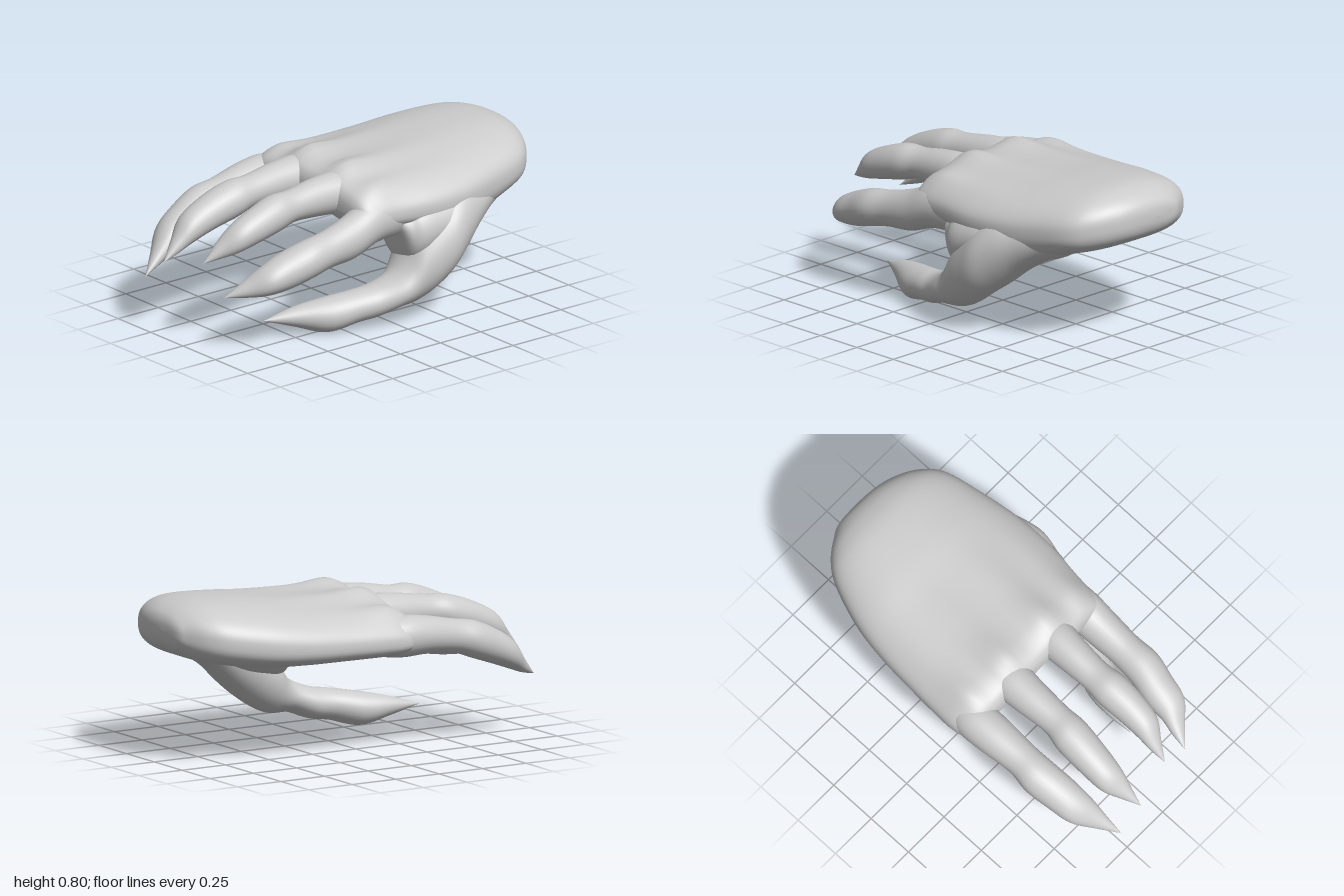
import * as THREE from 'three';

const material = new THREE.MeshStandardMaterial({ color: 0xcccccc, roughness: 0.8 });

// Catmull-Rom blend of whole station rows
function sample(rows, t) {
  const n = rows.length - 1;
  const i = Math.min(Math.floor(t * n), n - 1);
  const f = t * n - i;
  const p = k => rows[Math.max(0, Math.min(n, k))];
  const [a, b, c, d] = [p(i - 1), p(i), p(i + 1), p(i + 2)];
  return b.map((_, k) => 0.5 * (2 * b[k] + (c[k] - a[k]) * f
    + (2 * a[k] - 5 * b[k] + 4 * c[k] - d[k]) * f * f
    + (3 * b[k] - a[k] - 3 * c[k] + d[k]) * f * f * f));
}

// Closed skin along z. Each row is [z, centre x, centre y, half width, half height]
function loft(name, rows, { sides = 28, steps = 6, power = 1, shape = null } = {}) {
  const rings = (rows.length - 1) * steps;
  const positions = [], index = [];
  const pow = v => Math.sign(v) * Math.abs(v) ** power;
  for (let r = 0; r <= rings; r++) {
    const [z, cx, cy, rx, ry] = sample(rows, r / rings);
    for (let s = 0; s < sides; s++) {
      const a = s / sides * Math.PI * 2;
      const x = cx + Math.max(rx, 0.0005) * pow(Math.cos(a));
      const y = cy + Math.max(ry, 0.0005) * pow(Math.sin(a));
      positions.push(x, shape ? shape(x, y, z, Math.sin(a)) : y, z);
      if (r < rings) {
        const p = r * sides + s, q = r * sides + (s + 1) % sides;
        index.push(p, q, p + sides, q, q + sides, p + sides);
      }
    }
  }
  const geometry = new THREE.BufferGeometry();
  geometry.setAttribute('position', new THREE.Float32BufferAttribute(positions, 3));
  geometry.setIndex(index);
  geometry.computeVertexNormals();
  const mesh = new THREE.Mesh(geometry, material);
  mesh.name = name;
  return mesh;
}

const bell = (v, width) => Math.exp(-((v / width) ** 2));

export function createModel() {
  const hand = new THREE.Group();
  hand.name = 'clawedHand';

  // Palm: [z, right edge, left edge, top, bottom]
  const palm = [
    [-1, -0.07, -0.07, 0.665, 0.665], [-0.993, -0.19, 0.06, 0.715, 0.615], [-0.965, -0.25, 0.18, 0.755, 0.57],
    [-0.9, -0.34, 0.3, 0.79, 0.53], [-0.8, -0.41, 0.38, 0.808, 0.5], [-0.6, -0.48, 0.43, 0.8, 0.475],
    [-0.4, -0.515, 0.465, 0.78, 0.475], [-0.2, -0.53, 0.47, 0.765, 0.48], [0, -0.54, 0.445, 0.755, 0.485],
    [0.1, -0.54, 0.435, 0.745, 0.49], [0.17, -0.525, 0.42, 0.72, 0.51], [0.2, -0.48, 0.38, 0.685, 0.545],
    [0.21, -0.35, 0.27, 0.64, 0.58], [0.21, -0.05, -0.05, 0.61, 0.61],
  ].map(([z, l, r, top, bottom]) => [z, (l + r) / 2, (top + bottom) / 2, (r - l) / 2, (top - bottom) / 2]);

  // Arched back with knuckles and tendons above, thumb mound and hollow below
  const knuckles = [-0.42, -0.17, 0.13, 0.35];
  hand.add(loft('palm', palm, {
    sides: 80, power: 0.8,
    shape: (x, y, z, up) => {
      const ridge = knuckles.reduce((sum, k) => sum + bell(x - k, 0.075), 0);
      const reach = 0.037 * bell(z - 0.08, 0.13) + 0.014 * bell(z + 0.12, 0.25);
      const mound = 0.12 * bell(x - 0.33, 0.17) * bell(z + 0.42, 0.25);
      const hollow = 0.04 * bell(x, 0.17) * bell(z - 0.08, 0.35);
      const arch = (x < 0 ? 0.19 : 0.23) * x * x;
      return y - arch + Math.max(up, 0) * ridge * reach + Math.max(-up, 0) * (hollow - mound);
    },
  }));

  // Four fingers, each running from inside the knuckle to a claw point
  const fingers = {
    littleFinger: [
      [-0.1, -0.42, 0.57, 0.02, 0.02], [0.02, -0.425, 0.57, 0.08, 0.08], [0.14, -0.43, 0.575, 0.103, 0.102],
      [0.28, -0.425, 0.57, 0.1, 0.095], [0.45, -0.415, 0.545, 0.087, 0.085], [0.57, -0.415, 0.515, 0.096, 0.095],
      [0.7, -0.395, 0.465, 0.092, 0.09], [0.81, -0.375, 0.41, 0.08, 0.075], [0.9, -0.335, 0.345, 0.043, 0.042],
      [1, -0.29, 0.28, 0, 0]],
    ringFinger: [
      [-0.1, -0.18, 0.63, 0.02, 0.02], [0.02, -0.18, 0.63, 0.09, 0.085], [0.14, -0.18, 0.64, 0.104, 0.104],
      [0.28, -0.18, 0.64, 0.094, 0.095], [0.45, -0.175, 0.63, 0.082, 0.08], [0.56, -0.18, 0.61, 0.095, 0.093],
      [0.7, -0.185, 0.57, 0.088, 0.088], [0.83, -0.185, 0.515, 0.073, 0.075], [0.91, -0.17, 0.455, 0.04, 0.043],
      [1, -0.15, 0.39, 0, 0]],
    middleFinger: [
      [-0.1, 0.13, 0.63, 0.02, 0.02], [0.02, 0.13, 0.63, 0.09, 0.085], [0.14, 0.125, 0.64, 0.102, 0.104],
      [0.28, 0.12, 0.64, 0.09, 0.095], [0.43, 0.12, 0.63, 0.08, 0.08], [0.54, 0.125, 0.615, 0.09, 0.092],
      [0.67, 0.13, 0.58, 0.082, 0.085], [0.78, 0.125, 0.54, 0.068, 0.07], [0.86, 0.1, 0.49, 0.037, 0.04],
      [0.94, 0.08, 0.435, 0, 0]],
    indexFinger: [
      [-0.25, 0.33, 0.57, 0.02, 0.02], [-0.1, 0.335, 0.56, 0.085, 0.11], [0.1, 0.345, 0.55, 0.1, 0.115],
      [0.25, 0.355, 0.495, 0.095, 0.108], [0.4, 0.36, 0.465, 0.087, 0.092], [0.53, 0.362, 0.44, 0.094, 0.095],
      [0.65, 0.34, 0.402, 0.092, 0.09], [0.76, 0.325, 0.37, 0.078, 0.068], [0.84, 0.28, 0.335, 0.045, 0.038],
      [0.93, 0.23, 0.3, 0, 0]],
  };
  for (const [name, rows] of Object.entries(fingers)) hand.add(loft(name, rows));

  // Thumb dropping forward from the side of the palm
  hand.add(loft('thumb', [
    [-0.85, 0.2, 0.62, 0.01, 0.01], [-0.72, 0.25, 0.575, 0.1, 0.1], [-0.6, 0.285, 0.54, 0.13, 0.118],
    [-0.5, 0.32, 0.5, 0.14, 0.14], [-0.4, 0.355, 0.455, 0.15, 0.18], [-0.3, 0.385, 0.39, 0.153, 0.19],
    [-0.2, 0.378, 0.32, 0.152, 0.19], [-0.12, 0.37, 0.265, 0.142, 0.17], [-0.06, 0.375, 0.205, 0.125, 0.115],
    [0, 0.375, 0.17, 0.112, 0.084], [0.1, 0.34, 0.13, 0.1, 0.08], [0.2, 0.315, 0.115, 0.095, 0.079],
    [0.34, 0.265, 0.088, 0.095, 0.084], [0.48, 0.21, 0.094, 0.055, 0.048], [0.63, 0.165, 0.095, 0, 0],
  ], { sides: 36 }));

  // Webbing that joins thumb and palm
  hand.add(loft('thumbWeb', [
    [-0.8, 0.18, 0.6, 0.01, 0.01], [-0.55, 0.25, 0.54, 0.16, 0.1], [-0.35, 0.295, 0.49, 0.192, 0.14],
    [-0.2, 0.305, 0.465, 0.192, 0.16], [-0.12, 0.32, 0.45, 0.17, 0.16], [-0.075, 0.33, 0.45, 0.135, 0.135],
    [-0.03, 0.335, 0.5, 0.09, 0.05], [0, 0.34, 0.53, 0, 0],
  ], { sides: 36 }));

  return hand;
}
